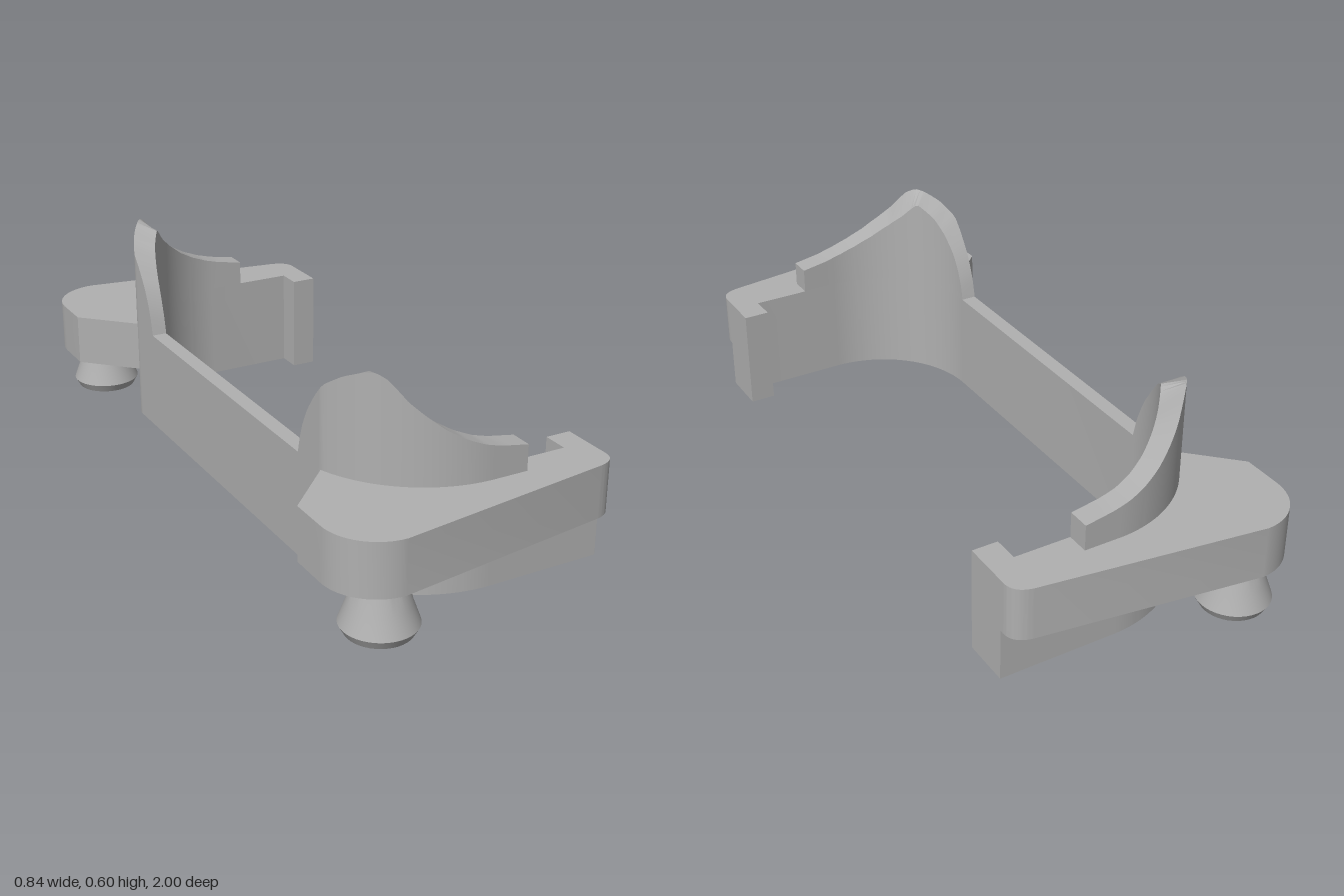
import * as THREE from 'three';
import { toCreasedNormals } from 'three/addons/utils/BufferGeometryUtils.js';

const TOP = 0.305, FLANGE_Y = 0.152, STEPS = 48;
const CX = 0.08, CZ = 0.47, R_IN = 0.31, R_OUT = 0.375, BACK = -0.275;

// crest height limits, across the depth (z) and along the arm (x)
const RISE = [[0.47, 0.306], [0.48, 0.35], [0.495, 0.395], [0.52, 0.445], [0.56, 0.5], [0.6, 0.543],
  [0.65, 0.577], [0.7, 0.6], [0.74, 0.607], [0.9, 0.607]];
const FALL = [[-0.3, 0.607], [-0.2, 0.604], [-0.178, 0.59], [-0.155, 0.56], [-0.136, 0.533], [-0.1, 0.498],
  [-0.05, 0.457], [0, 0.428], [0.05, 0.407], [0.1, 0.393], [0.18, 0.379]];

function lookup(table, t) {
  for (let i = 1; i < table.length; i++) {
    const [a, va] = table[i - 1], [b, vb] = table[i];
    if (t <= b) return va + (vb - va) * Math.max(0, (t - a) / (b - a));
  }
  return table[table.length - 1][1];
}
const crestHeight = ([x, z]) => Math.min(lookup(RISE, z), lookup(FALL, x));

// matching inner and outer points around the rounded corner, as [x, z]
function cornerArc() {
  const inner = [], outer = [];
  for (let i = 0; i <= STEPS; i++) {
    const a = (i / STEPS) * Math.PI / 2, c = Math.cos(a), s = Math.sin(a);
    const r = Math.min(R_OUT, (CX - BACK) / Math.max(c, 1e-6));
    inner.push([CX - R_IN * c, CZ + R_IN * s]);
    outer.push([CX - r * c, CZ + r * s]);
  }
  return { inner, outer };
}

// upright prism from a plan shape
function prism(shape, y0, y1) {
  const g = new THREE.ExtrudeGeometry(shape, { depth: y1 - y0, bevelEnabled: false, curveSegments: 16 });
  g.rotateX(-Math.PI / 2);
  g.translate(0, y0, 0);
  return toCreasedNormals(g, 0.45);
}

// C-shaped wall with a lip at the end of each arm
function frameGeometry({ inner, outer }) {
  const half = [...inner, [0.345, 0.78], [0.345, 0.705], [0.42, 0.705], [0.42, 0.845], ...[...outer].reverse()];
  const loop = [...half, ...[...half].reverse().map(([x, z]) => [x, -z])];
  return prism(new THREE.Shape(loop.map(([x, z]) => new THREE.Vector2(x, z))), 0, TOP);
}

// mounting ear outside an arm
function flangeGeometry({ outer }, side) {
  const pts = outer.filter(([, z]) => z > 0.588).reverse();
  const s = new THREE.Shape();
  s.moveTo(0.42, -side * 0.845);
  pts.forEach(([x, z]) => s.lineTo(x, -side * z));
  s.lineTo(-0.42, -side * 0.735);
  for (let i = 0; i <= 16; i++) {
    const a = (i / 16) * Math.PI / 2;
    s.lineTo(-0.27 - 0.15 * Math.cos(a), -side * (0.85 + 0.15 * Math.sin(a)));
  }
  s.lineTo(0.365, -side * 0.91);
  s.quadraticCurveTo(0.42, -side * 0.9, 0.42, -side * 0.855);
  return prism(s, FLANGE_Y, TOP);
}

// raised guard that follows the corner and slopes down along the arm
function crestGeometry({ inner, outer }, side) {
  const ins = [...inner], outs = [...outer];
  for (const x of [0.1, 0.13, 0.18]) {
    ins.push([x, CZ + R_IN]);
    outs.push([x, CZ + R_OUT]);
  }
  const sections = ins.map((p, i) => {
    const q = outs[i];
    return [[p[0], TOP, p[1]], [p[0], crestHeight(p), p[1]], [q[0], crestHeight(q), q[1]], [q[0], TOP, q[1]]];
  });
  const pos = [];
  const tri = (a, b, c) => (side > 0 ? [a, b, c] : [a, c, b]).forEach(([x, y, z]) => pos.push(x, y, side * z));
  const quad = (a, b, c, d) => { tri(a, b, c); tri(a, c, d); };
  for (let i = 0; i < sections.length - 1; i++) {
    const s = sections[i], n = sections[i + 1];
    for (let k = 0; k < 3; k++) quad(s[k], s[k + 1], n[k + 1], n[k]);
  }
  quad(...sections[sections.length - 1]);
  const g = new THREE.BufferGeometry();
  g.setAttribute('position', new THREE.Float32BufferAttribute(pos, 3));
  return toCreasedNormals(g, 0.5);
}

// flared peg with a chamfered base
function footGeometry() {
  const profile = [[0, 0], [0.09, 0], [0.104, 0.025], [0.084, 0.08], [0.063, 0.155]];
  const g = new THREE.LatheGeometry(profile.map(([r, y]) => new THREE.Vector2(r, y)), 40);
  return toCreasedNormals(g, 0.45);
}

export function createModel() {
  const model = new THREE.Group();
  model.name = 'bracket';
  const grey = new THREE.MeshStandardMaterial({ color: 0xb0b0b0 });
  grey.name = 'grey';
  const add = (name, geometry) => {
    const mesh = new THREE.Mesh(geometry, grey);
    mesh.name = name;
    model.add(mesh);
    return mesh;
  };

  const arc = cornerArc();
  add('frameWall', frameGeometry(arc));
  for (const [prefix, side] of [['front', 1], ['back', -1]]) {
    add(prefix + 'Flange', flangeGeometry(arc, side));
    add(prefix + 'Crest', crestGeometry(arc, side));
    add(prefix + 'Foot', footGeometry()).position.set(-0.275, 0, side * 0.886);
  }
  return model;
}
